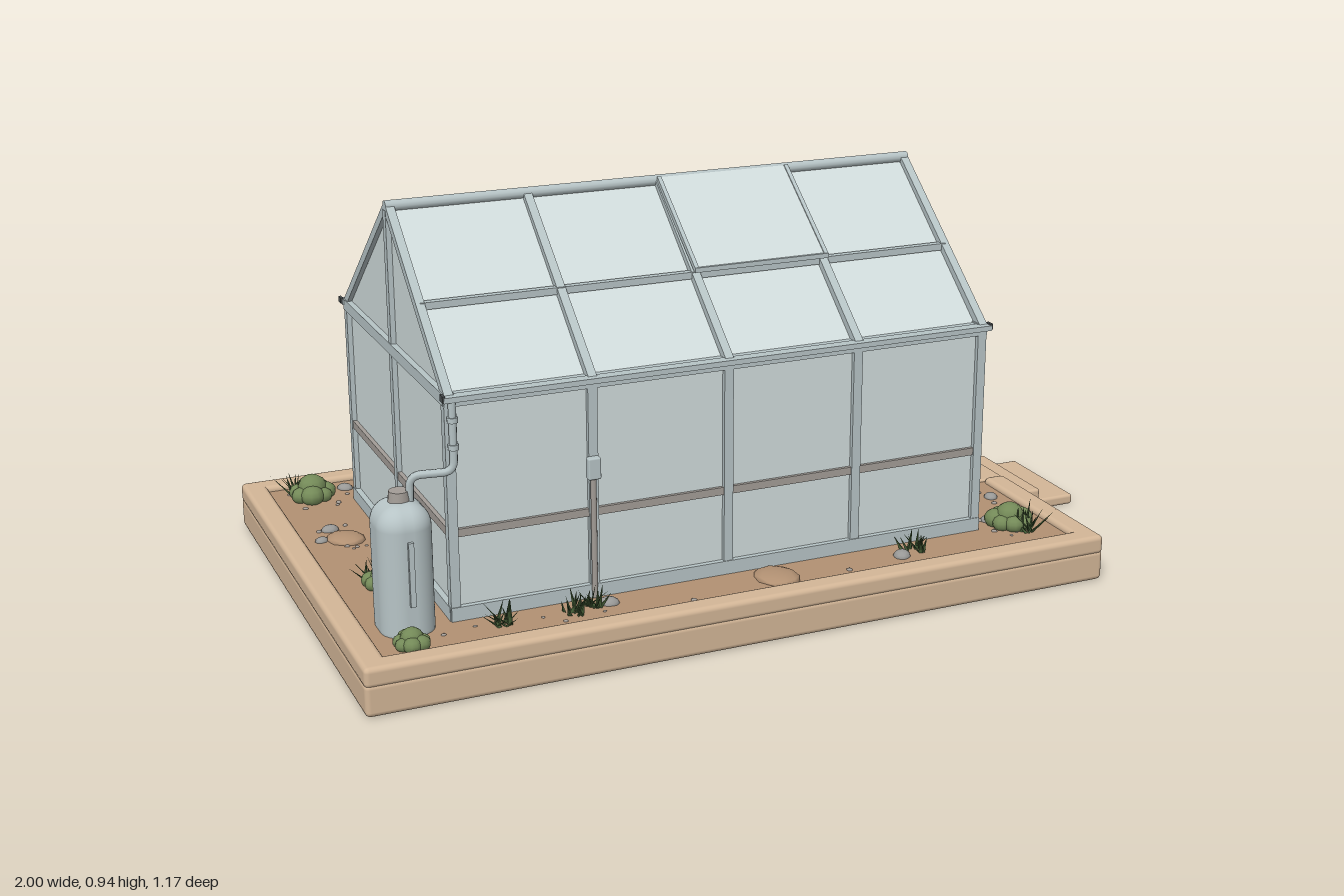
import * as THREE from 'three';
import { mergeGeometries } from 'three/addons/utils/BufferGeometryUtils.js';
import { RoundedBoxGeometry } from 'three/addons/geometries/RoundedBoxGeometry.js';

const material = (name, color, extra = {}) => {
  const m = new THREE.MeshStandardMaterial({ color, ...extra });
  m.name = name;
  return m;
};

export function createModel() {
  const root = new THREE.Group();
  root.name = 'greenhouse';
  const glass = material('paleGlass', 0xd0dbdb);
  const frame = material('frameGrey', 0xb7c4c6);
  const rail = material('warmGrey', 0xa39d97);
  const dark = material('darkGrey', 0x4a4f50);
  const sand = material('sandstone', 0xd3b697);
  const soil = material('soil', 0xb29173);
  const leaf = material('bushGreen', 0x748a58);
  const grass = material('grassGreen', 0x435b35, { side: THREE.DoubleSide });
  const stone = material('stoneGrey', 0x9a9a98);

  const add = (name, geo, mat, x = 0, y = 0, z = 0, parent = root) => {
    const m = new THREE.Mesh(geo, mat);
    m.name = name;
    m.position.set(x, y, z);
    parent.add(m);
    return m;
  };
  // Box given by its limits, optionally rounded
  const box = (name, mat, x0, x1, y0, y1, z0, z1, r = 0, parent = root) => {
    const s = [x1 - x0, y1 - y0, z1 - z0];
    const g = r ? new RoundedBoxGeometry(...s, 2, r) : new THREE.BoxGeometry(...s);
    return add(name, g, mat, (x0 + x1) / 2, (y0 + y1) / 2, (z0 + z1) / 2, parent);
  };
  // Sloping bar between two points
  const bar = (name, mat, a, b, w, h, parent = root) => {
    const A = new THREE.Vector3(...a), B = new THREE.Vector3(...b);
    const m = add(name, new THREE.BoxGeometry(w, h, A.distanceTo(B)), mat, 0, 0, 0, parent);
    m.position.copy(A).add(B).multiplyScalar(0.5);
    m.lookAt(B);
    return m;
  };
  const pipe = (name, mat, pts, r) => {
    const path = new THREE.CurvePath();
    const p = pts.map(q => new THREE.Vector3(...q));
    let from = p[0];
    for (let i = 1; i < p.length - 1; i++) { // rounded elbows
      const a = p[i].clone().lerp(p[i - 1], Math.min(0.45, 0.025 / p[i].distanceTo(p[i - 1])));
      const b = p[i].clone().lerp(p[i + 1], Math.min(0.45, 0.025 / p[i].distanceTo(p[i + 1])));
      path.add(new THREE.LineCurve3(from, a));
      path.add(new THREE.QuadraticBezierCurve3(a, p[i], b));
      from = b;
    }
    path.add(new THREE.LineCurve3(from, p[p.length - 1]));
    return add(name, new THREE.TubeGeometry(path, 40, r, 8), mat);
  };

  // Plinth, rim, soil bed, path and steps
  box('plinth', sand, -1, 0.79, 0, 0.075, -0.585, 0.585, 0.012);
  for (const s of [-1, 1]) {
    box('rimLong', sand, -1, 0.79, 0.065, 0.112, s * 0.557 - 0.028, s * 0.557 + 0.028, 0.012);
    box('rimDoorSide', sand, 0.733, 0.79, 0.065, 0.112, s * 0.357 - 0.225, s * 0.357 + 0.225, 0.012);
  }
  box('rimEnd', sand, -1, -0.943, 0.065, 0.112, -0.58, 0.58, 0.012);
  box('soilBed', soil, -0.96, 0.75, 0.05, 0.098, -0.55, 0.55);
  box('path', sand, 0.55, 0.793, 0.07, 0.104, -0.13, 0.13, 0.006);
  box('upperStep', sand, 0.77, 0.9, 0, 0.057, -0.14, 0.14, 0.008);
  box('lowerStep', sand, 0.88, 1, 0, 0.027, -0.14, 0.14, 0.008);

  // Glazed shell: gable outline drawn out along x
  const X0 = -0.745, X1 = 0.543, Z = 0.392, EAVE = 0.6, RIDGE = 0.925;
  const gable = new THREE.Shape([[-Z, 0.09], [Z, 0.09], [Z, EAVE], [0, RIDGE], [-Z, EAVE]]
    .map(p => new THREE.Vector2(...p)));
  const shell = new THREE.ExtrudeGeometry(gable, { depth: X1 - X0, bevelEnabled: false });
  shell.rotateY(Math.PI / 2);
  add('glazing', shell, glass, X0);

  // Posts, rails, rafters and gutters on both long sides
  const bays = [-0.746, -0.425, -0.102, 0.22, 0.544];
  for (const s of [-1, 1]) {
    const z = s * Z;
    for (const x of bays) {
      box('post', frame, x - 0.011, x + 0.011, 0.1, 0.6, z - 0.011, z + 0.011);
      bar('rafter', frame, [x, EAVE + 0.002, s * 0.402], [x, RIDGE + 0.002, 0], 0.02, 0.02);
    }
    box('sill', frame, -0.757, 0.555, 0.098, 0.13, z - 0.013, z + 0.013);
    box('wallRail', rail, -0.746, 0.544, 0.29, 0.308, z - 0.008, z + 0.008);
    box('eaveBeam', frame, -0.757, 0.555, 0.585, 0.611, z - 0.013, z + 0.013);
    box('gutter', frame, -0.762, 0.557, 0.6, 0.612, s * 0.409 - 0.014, s * 0.409 + 0.014);
    for (const e of [-0.762, 0.557]) box('gutterCap', dark, e - 0.003, e + 0.003, 0.602, 0.616, s * 0.412 - 0.01, s * 0.412 + 0.01);
    box('roofRail', frame, -0.746, 0.544, 0.747, 0.763, s * 0.212 - 0.009, s * 0.212 + 0.009);
  }
  const ridge = add('ridgeBar', new THREE.CylinderGeometry(0.013, 0.013, 1.31, 12), frame, -0.101, 0.929, 0);
  ridge.rotation.z = Math.PI / 2;

  // Gable framing at both ends
  for (const x of [-0.746, 0.544]) {
    box('tieBeam', frame, x - 0.013, x + 0.013, 0.588, 0.614, -0.4, 0.4);
    box('kingPost', frame, x - 0.011, x + 0.011, 0.61, 0.92, -0.011, 0.011);
    box('endSill', frame, x - 0.013, x + 0.013, 0.098, 0.13, -0.4, 0.4);
    for (const s of [-1, 1]) {
      const inner = x > 0 ? 0.145 : 0.01;
      box('endRail', rail, x - 0.009, x + 0.009, 0.289, 0.308, s > 0 ? inner : -Z, s > 0 ? Z : -inner);
      if (x > 0) box('doorPost', frame, x - 0.012, x + 0.012, 0.12, 0.59, s * 0.135 - 0.01, s * 0.135 + 0.01);
    }
    if (x < 0) box('endPost', frame, x - 0.011, x + 0.011, 0.12, 0.59, -0.011, 0.011);
  }

  // Door standing slightly ajar
  const door = new THREE.Group();
  door.name = 'door';
  door.position.set(0.556, 0, 0.122);
  door.rotation.y = -0.11;
  root.add(door);
  box('doorPane', glass, -0.004, 0.004, 0.13, 0.585, -0.24, 0, 0, door);
  for (const z of [-0.24, -0.011]) box('doorStile', frame, -0.007, 0.007, 0.13, 0.585, z, z + 0.011, 0, door);
  for (const y of [0.13, 0.574]) box('doorRail', frame, -0.007, 0.007, y, y + 0.011, -0.24, 0, 0, door);
  for (const y of [0.18, 0.525]) box('hinge', frame, -0.008, 0.012, y - 0.013, y + 0.013, -0.004, 0.008, 0, door);
  box('handle', dark, 0.012, 0.02, 0.29, 0.385, -0.237, -0.228, 0, door);
  for (const y of [0.3, 0.375]) box('handleMount', dark, 0, 0.014, y - 0.004, y + 0.004, -0.236, -0.229, 0, door);

  // Ventilation fan
  const fan = new THREE.Group();
  fan.name = 'fan';
  fan.position.set(0.56, 0.705, 0);
  fan.rotation.y = Math.PI / 2;
  root.add(fan);
  add('fanRing', new THREE.TorusGeometry(0.046, 0.005, 8, 28), frame, 0, 0, 0, fan);
  add('fanBack', new THREE.CylinderGeometry(0.046, 0.046, 0.012, 28), glass, 0, 0, -0.008, fan).rotation.x = Math.PI / 2;
  add('fanHub', new THREE.CylinderGeometry(0.01, 0.01, 0.012, 12), frame, 0, 0, 0.003, fan).rotation.x = Math.PI / 2;
  const blade = new THREE.BoxGeometry(0.03, 0.014, 0.002).rotateX(0.4).translate(0.024, 0, 0.002);
  for (let i = 0; i < 5; i++) add('fanBlade', blade, rail, 0, 0, 0, fan).rotation.z = i * Math.PI * 0.4 + 0.3;

  // Roof vent, propped open a little on the front slope
  const ventMid = (x0, x1, w, h, m, n) => bar(n, m, [x0 / 2 + x1 / 2, 0.936, 0.01], [x0 / 2 + x1 / 2, 0.769, 0.23], w, h);
  ventMid(-0.108, 0.226, 0.334, 0.006, glass, 'ventPane');
  for (const x of [-0.104, 0.222]) ventMid(x, x, 0.01, 0.011, frame, 'ventStile');
  box('ventLip', frame, -0.109, 0.227, 0.764, 0.775, 0.224, 0.234);

  // Water tank with cap, gauge, downpipe and pump
  const tank = add('waterTank', new RoundedBoxGeometry(0.12, 0.33, 0.14, 5, 0.05), frame, -0.853, 0.22, 0.375);
  tank.geometry.translate(0, 0, 0);
  add('tankCap', new THREE.CylinderGeometry(0.022, 0.025, 0.028, 16), rail, -0.853, 0.392, 0.372);
  box('tankGauge', frame, -0.859, -0.847, 0.17, 0.315, 0.442, 0.453);
  pipe('downpipe', frame, [[-0.742, 0.605, 0.412], [-0.742, 0.445, 0.412], [-0.832, 0.44, 0.385], [-0.832, 0.37, 0.38]], 0.009);
  for (const y of [0.5, 0.56]) add('pipeCollar', new THREE.CylinderGeometry(0.012, 0.012, 0.012, 12), frame, -0.742, y, 0.412);
  box('pump', frame, -0.875, -0.827, 0.11, 0.16, 0.23, 0.28, 0.006);
  pipe('pumpPipe', frame, [[-0.85, 0.135, 0.31], [-0.85, 0.185, 0.25], [-0.75, 0.185, 0.215]], 0.007);

  // Control box and conduit on the front wall
  box('controlBox', frame, -0.443, -0.413, 0.38, 0.43, 0.4, 0.42, 0.004);
  add('conduit', new THREE.CylinderGeometry(0.007, 0.007, 0.28, 8), rail, -0.428, 0.24, 0.408);

  // Planting
  let seed = 7;
  const rnd = (a = 0, b = 1) => {
    seed = (seed * 16807) % 2147483647;
    return a + (b - a) * seed / 2147483647;
  };
  const bush = (x, z, r) => {
    const parts = [];
    for (let i = 0; i < 8; i++) {
      const a = i * 0.9, d = i ? r * 0.58 : 0, s = r * (i ? rnd(0.36, 0.5) : 0.6);
      parts.push(new THREE.SphereGeometry(s, 10, 7).scale(1, 0.85, 1)
        .translate(Math.cos(a) * d, i ? s * 0.5 : r * 0.45, Math.sin(a) * d));
    }
    add('bush', mergeGeometries(parts), leaf, x, 0.1, z);
  };
  const tuft = (x, z, r, h) => {
    const parts = [];
    for (let i = 0; i < 16; i++) {
      const g = new THREE.ConeGeometry(0.006, h * rnd(0.6, 1.15), 4).scale(1, 1, 0.4);
      g.computeBoundingBox();
      g.translate(0, -g.boundingBox.min.y, 0).rotateX(rnd(0.15, 0.95)).rotateY(i * 2.4);
      parts.push(g.translate(rnd(-r, r) * 0.5, 0, rnd(-r, r) * 0.5));
    }
    add('grassTuft', mergeGeometries(parts), grass, x, 0.097, z);
  };
  [[-0.85, -0.45, 0.06], [0.27, -0.475, 0.045], [0.64, -0.4, 0.06], [-0.84, 0.15, 0.045], [-0.87, 0.485, 0.042],
    [0.64, 0.405, 0.057]].forEach(b => bush(...b));
  [[-0.55, -0.47, 0.03, 0.05], [-0.66, 0.455, 0.035, 0.055], [-0.5, 0.465, 0.04, 0.05], [-0.45, 0.45, 0.03, 0.05],
    [0.35, 0.455, 0.045, 0.05], [0.64, -0.28, 0.06, 0.07], [0.67, -0.34, 0.05, 0.08], [0.22, -0.46, 0.02, 0.05],
    [-0.85, 0.11, 0.04, 0.06], [-0.81, 0.19, 0.03, 0.05], [0.66, 0.45, 0.04, 0.07], [-0.88, -0.48, 0.03, 0.07],
    [0.64, -0.44, 0.03, 0.07]].forEach(t => tuft(...t));

  // Stones, pebbles and low soil mounds
  const pebbleGeo = new THREE.IcosahedronGeometry(1, 1);
  const rock = (name, mat, x, z, r, flat = 0.6) => {
    const m = add(name, pebbleGeo, mat, x, 0.098, z);
    m.scale.set(r, r * flat, r * 0.85);
    m.rotation.y = rnd(0, 6);
  };
  [[-0.76, -0.48, 0.021], [-0.865, -0.22, 0.022], [-0.9, -0.16, 0.017], [-0.14, -0.495, 0.026], [-0.06, -0.45, 0.022],
    [0.21, -0.47, 0.03], [0.6, 0.2, 0.032], [0.695, 0.23, 0.02], [0.6, 0.29, 0.02], [0.61, 0.36, 0.022],
    [0.31, 0.47, 0.024], [-0.41, 0.445, 0.024]].forEach(r => rock('stone', stone, ...r));
  rock('soilMound', soil, -0.845, -0.15, 0.05, 0.3);
  rock('soilMound', soil, -0.01, 0.465, 0.06, 0.25);
  for (let i = 0; i < 40; i++) {
    const side = i % 4;
    const x = side < 2 ? rnd(-0.9, 0.7) : side === 2 ? rnd(-0.92, -0.79) : rnd(0.58, 0.72);
    const z = side < 2 ? (side ? 1 : -1) * rnd(0.43, 0.51) : side === 2 ? rnd(-0.4, 0.1) : rnd(0.16, 0.48);
    rock('pebble', rail, x, z, rnd(0.004, 0.008));
  }
  return root;
}
